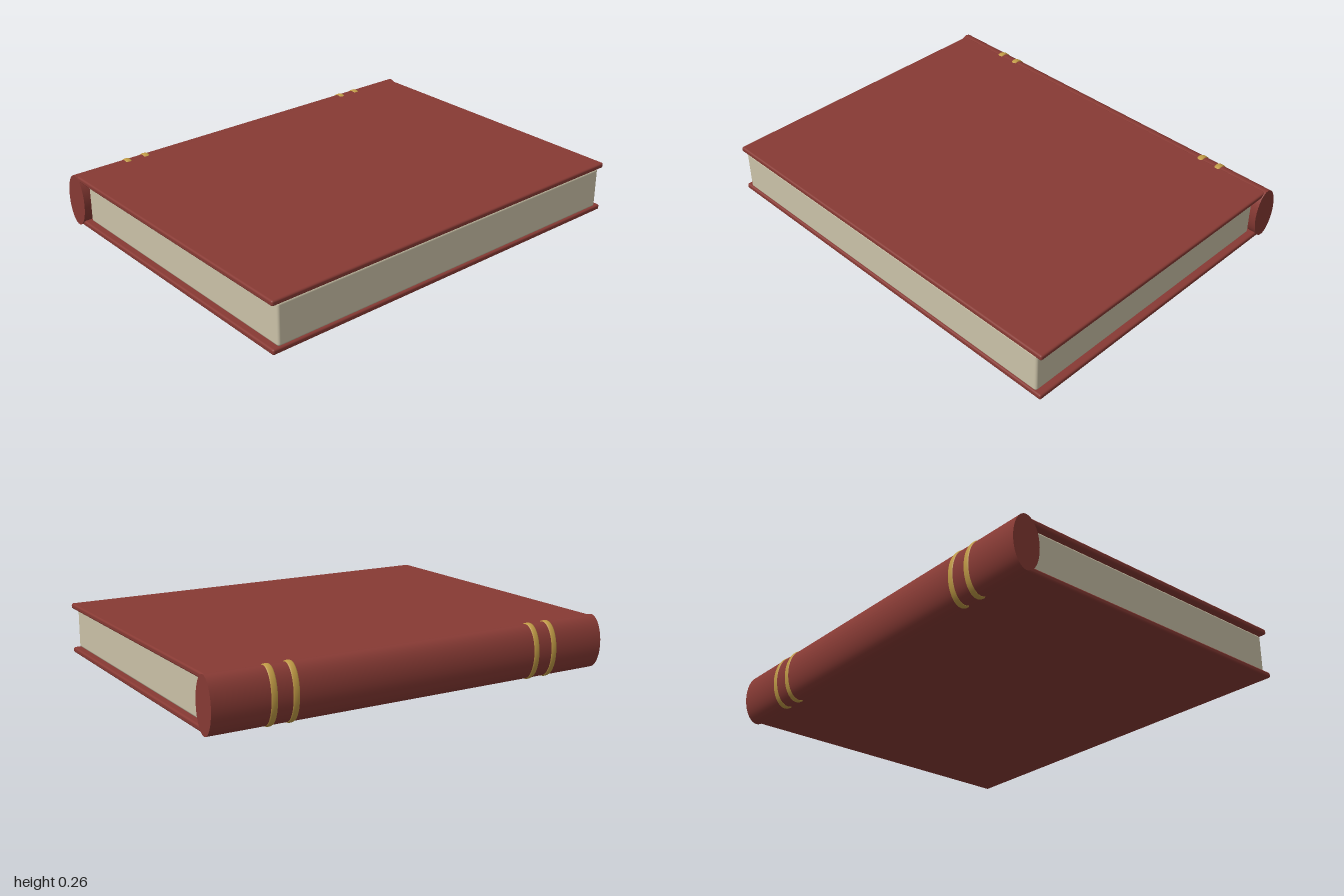
import * as THREE from 'three';
import { RoundedBoxGeometry } from 'three/addons/geometries/RoundedBoxGeometry.js';

const material = (name, color) => {
  const m = new THREE.MeshStandardMaterial({ color });
  m.name = name;
  return m;
};

export function createModel() {
  const book = new THREE.Group();
  book.name = 'book';
  const leather = material('red leather', 0x873a34);
  const paper = material('cream paper', 0xcbc2a8);
  const gold = material('gold', 0xc09a45);

  const add = (name, geometry, mat, x, y, z) => {
    const mesh = new THREE.Mesh(geometry, mat);
    mesh.name = name;
    mesh.position.set(x, y, z);
    book.add(mesh);
    return mesh;
  };

  // A box with softened edges spanning x0..x1 and y0..y1, centred on z
  const slab = (name, mat, x0, x1, y0, y1, depth, radius) =>
    add(name, new RoundedBoxGeometry(x1 - x0, y1 - y0, depth, 3, radius), mat,
      (x0 + x1) / 2, (y0 + y1) / 2, 0);

  // Covers and page block
  slab('topCover', leather, -0.708, 0.782, 0.229, 0.255, 1.99, 0.009);
  slab('bottomCover', leather, -0.708, 0.782, 0.009, 0.035, 1.99, 0.009);
  slab('pages', paper, -0.655, 0.776, 0.033, 0.231, 1.93, 0.012);

  // Spine: an upright oval running the full length
  const spineX = -0.715, spineY = 0.131, rx = 0.069, ry = 0.126;
  const spine = new THREE.CylinderGeometry(1, 1, 2, 48);
  spine.rotateX(Math.PI / 2).scale(rx, ry, 1);
  add('spine', spine, leather, spineX, spineY, 0);

  // Paired raised bands near each end of the spine
  for (const z of [-0.723, -0.623, 0.617, 0.717]) {
    const band = new THREE.TorusGeometry(1, 0.04, 10, 48);
    band.scale(rx, ry, 0.38);
    add('spineBand', band, gold, spineX, spineY, z);
  }

  return book;
}
